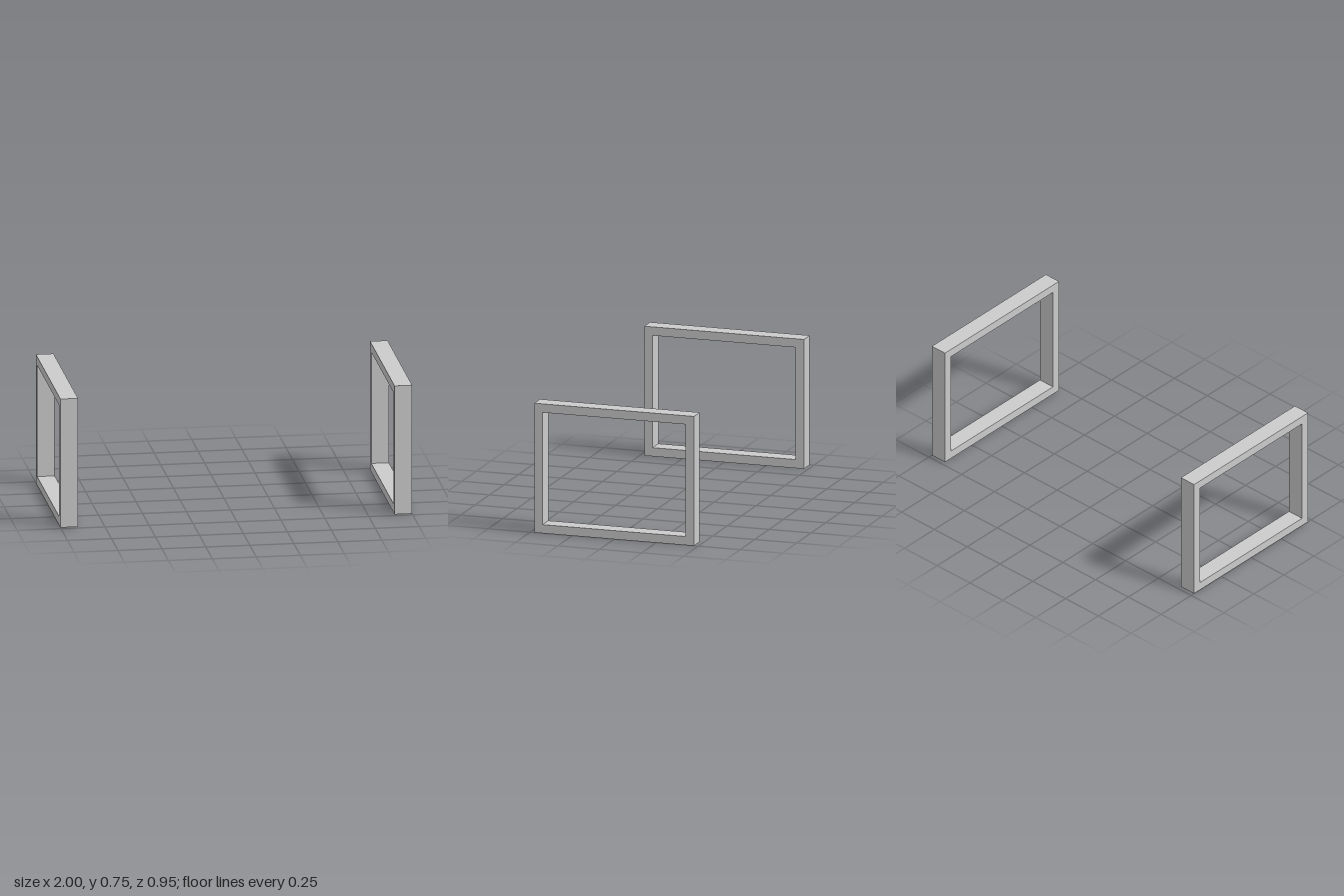
import * as THREE from 'three';

const HEIGHT = 0.75, LENGTH = 0.95, DEPTH = 0.1, BAR = 0.05;

// Closed rectangle, inset evenly from the outer frame outline
function outline(path, inset) {
  const z = LENGTH / 2 - inset, bottom = inset, top = HEIGHT - inset;
  path.moveTo(-z, bottom);
  path.lineTo(z, bottom);
  path.lineTo(z, top);
  path.lineTo(-z, top);
  path.closePath();
  return path;
}

export function createModel() {
  const model = new THREE.Group();
  model.name = 'legFrames';
  const material = new THREE.MeshStandardMaterial({ color: 0xcccccc, flatShading: true });

  // Rectangular frame with an open middle, turned to stand in the y-z plane
  const shape = outline(new THREE.Shape(), 0);
  shape.holes.push(outline(new THREE.Path(), BAR));
  const geometry = new THREE.ExtrudeGeometry(shape, { depth: DEPTH, bevelEnabled: false });
  geometry.translate(0, 0, -DEPTH / 2);
  geometry.rotateY(Math.PI / 2);

  // One frame at each end
  for (const [name, side] of [['leftLegFrame', 1], ['rightLegFrame', -1]]) {
    const frame = new THREE.Mesh(geometry, material);
    frame.name = name;
    frame.position.x = side * (1 - DEPTH / 2);
    model.add(frame);
  }
  return model;
}
